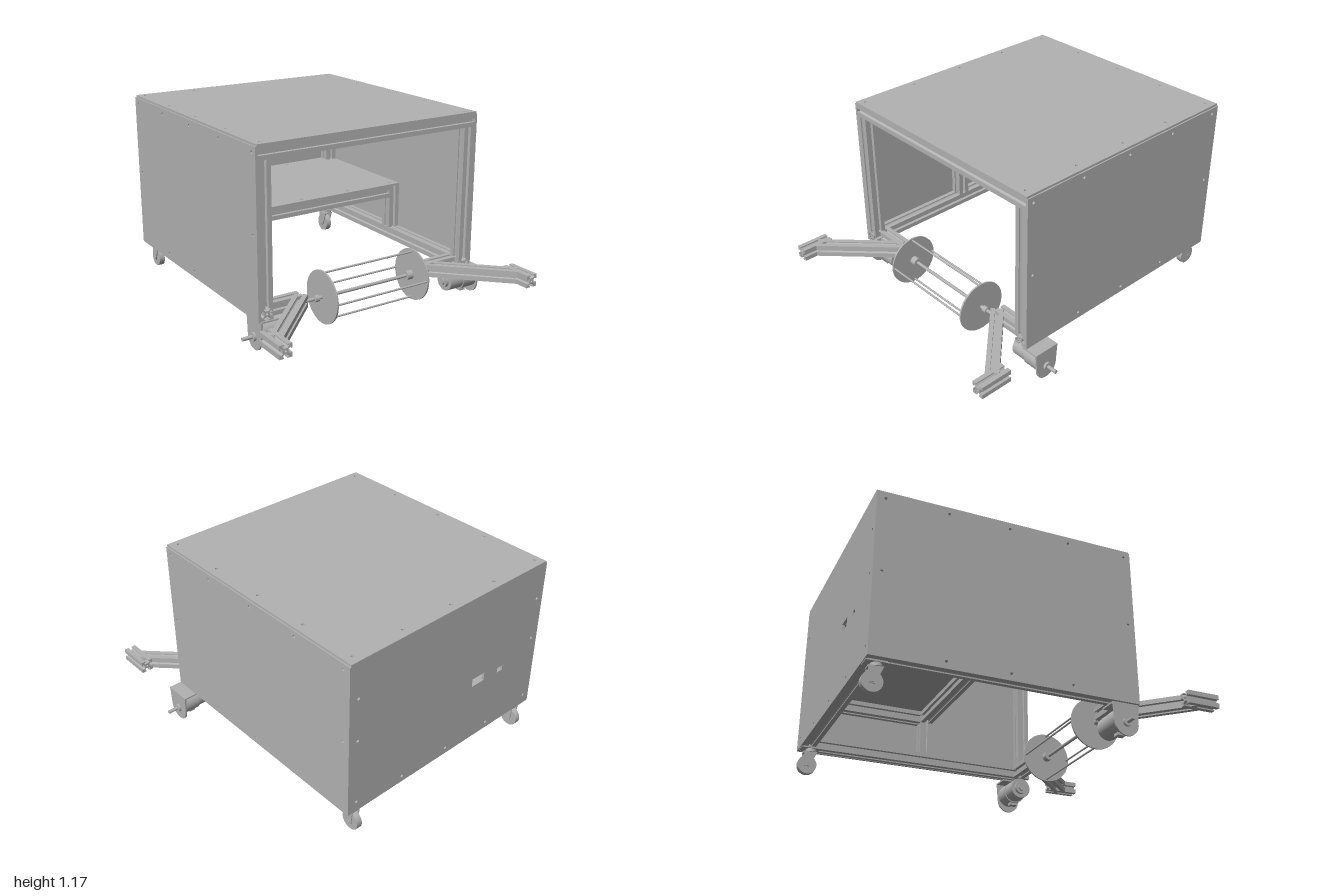
import * as THREE from 'three';

const grey = new THREE.MeshStandardMaterial({ color: 0xb2b2b2 });
grey.name = 'plain grey';

const H = 0.038; // half width of a slotted beam
const X0 = -0.745, X1 = 0.715, Z0 = -0.975, Z1 = 0.565, Y0 = 0.198, Y1 = 1.165;

function add(parent, name, geometry, x = 0, y = 0, z = 0) {
  const mesh = new THREE.Mesh(geometry, grey);
  mesh.name = name;
  mesh.position.set(x, y, z);
  parent.add(mesh);
  return mesh;
}

// Square beam profile with a T-slot in each side and a centre bore
function beamProfile() {
  const side = [[H, H], [0.011, H], [0.011, 0.031], [0.021, 0.031], [0.011, 0.016],
    [-0.011, 0.016], [-0.021, 0.031], [-0.011, 0.031], [-0.011, H]];
  const points = [];
  for (let i = 0; i < 4; i++) {
    for (const [x, y] of side) {
      points.push(new THREE.Vector2(x, y).rotateAround(new THREE.Vector2(), i * Math.PI / 2));
    }
  }
  const shape = new THREE.Shape(points);
  shape.holes.push(new THREE.Path().absarc(0, 0, 0.007, 0, Math.PI * 2, true));
  return shape;
}
const profile = beamProfile();

function beam(parent, name, from, to) {
  const a = new THREE.Vector3(...from), b = new THREE.Vector3(...to);
  const geometry = new THREE.ExtrudeGeometry(profile,
    { depth: a.distanceTo(b), bevelEnabled: false, curveSegments: 5 });
  const mesh = add(parent, name, geometry, ...from);
  const dir = b.sub(a).normalize();
  mesh.quaternion.setFromUnitVectors(new THREE.Vector3(0, 0, 1), dir);
  return mesh;
}

// Flat sheet with round screw holes and rectangular cut-outs
function sheet([u0, v0, u1, v1], depth, holes, cutouts = []) {
  const rect = (T, a, b, c, d) => new T([[a, b], [c, b], [c, d], [a, d]].map(p => new THREE.Vector2(...p)));
  const shape = rect(THREE.Shape, u0, v0, u1, v1);
  for (const [u, v] of holes) {
    const p = new THREE.Path();
    p.absarc(u, v, 0.009, 0, Math.PI * 2, true);
    shape.holes.push(p);
  }
  for (const c of cutouts) shape.holes.push(rect(THREE.Path, ...c));
  return new THREE.ExtrudeGeometry(shape, { depth, bevelEnabled: false, curveSegments: 6 });
}

const rodX = (r, length, sides = 24) => new THREE.CylinderGeometry(r, r, length, sides).rotateZ(Math.PI / 2);

function buildPanels(parent) {
  const xs = [-0.71, -0.365, -0.02, 0.33, 0.67];
  const zs = [-0.94, -0.575, -0.21, 0.155, 0.525];
  // Top
  const topHoles = xs.map(x => [x, zs[0]]);
  for (const z of zs.slice(1)) topHoles.push([xs[0], z], [xs[4], z]);
  add(parent, 'topPanel', sheet([X0 - 0.007, -0.99, X1 + 0.007, Z1], 0.013, topHoles).rotateX(Math.PI / 2), 0, Y1 + 0.013, 0);
  // Sides
  const sideHoles = zs.map(z => [z, 1.13]);
  sideHoles.push([zs[0], 0.68], [zs[4], 0.68]);
  for (const z of zs.slice(1, 4)) sideHoles.push([z, 0.235]);
  for (const [name, x] of [['leftPanel', X1 + 0.015], ['rightPanel', X0]]) {
    add(parent, name, sheet([-0.99, 0.195, Z1, Y1], 0.015, sideHoles).rotateY(-Math.PI / 2), x, 0, 0);
  }
  // Back, with two openings
  const backHoles = xs.slice(1, 4).map(x => [x, 0.235]);
  for (const y of [0.26, 0.68, 0.95]) backHoles.push([xs[0], y], [xs[4], y]);
  add(parent, 'backPanel', sheet([X0, 0.195, X1, Y1], 0.015, backHoles,
    [[-0.305, 0.575, -0.205, 0.627], [-0.465, 0.57, -0.42, 0.6]]), 0, 0, -0.99);
  // Shelf board
  const shelfHoles = xs.flatMap(x => [[x, -0.18], [x, -0.93]]);
  add(parent, 'shelfBoard', sheet([X0, Z0, X1, -0.14], 0.012, shelfHoles).rotateX(Math.PI / 2), 0, 0.572, 0);
}

function buildFrame(parent) {
  const low = Y0 + H, high = Y1 - H, shelf = 0.56 - H;
  const left = X1 - H, right = X0 + H, back = Z0 + H, front = Z1 - H, shelfFront = -0.14 - H;
  for (const x of [left, right]) {
    beam(parent, 'bottomSideRail', [x, low, Z0], [x, low, Z1]);
    beam(parent, 'topSideRail', [x, high, Z0], [x, high, front - H]);
    beam(parent, 'frontPost', [x, low + H, front], [x, high - H, front]);
    beam(parent, 'backPost', [x, low + H, back], [x, high - H, back]);
    beam(parent, 'shelfPost', [x, low + H, shelfFront], [x, 0.56, shelfFront]);
    beam(parent, 'shelfSideRail', [x, shelf, back + H], [x, shelf, shelfFront - H]);
  }
  beam(parent, 'topFrontRail', [X0, high, front], [X1, high, front]);
  for (const [name, y, z] of [['topBackRail', high, back], ['bottomBackRail', low, back],
    ['shelfFrontRail', shelf, shelfFront], ['shelfBackRail', shelf, back]]) {
    beam(parent, name, [right + H, y, z], [left - H, y, z]);
  }
  // Splayed front arms
  for (const s of [-1, 1]) {
    const px = d => -0.015 + s * d;
    beam(parent, 'armMount', [px(0.655), low, 0.49], [px(0.44), low, 0.49]);
    beam(parent, 'armDiagonal', [px(0.44), low, 0.505], [px(0.825), low, 0.89]);
    beam(parent, 'armTip', [px(0.837), low, 0.8], [px(0.837), low, 1]);
  }
}

// Two discs joined by rods on an axle
function buildSpool(parent) {
  const spool = new THREE.Group();
  spool.name = 'spool';
  spool.position.set(-0.01, 0.234, 0.527);
  parent.add(spool);
  for (const s of [-1, 1]) {
    add(spool, 'spoolDisc', rodX(0.157, 0.01, 48), s * 0.318);
    add(spool, 'spoolHub', rodX(0.028, 0.04), s * 0.29);
    add(spool, 'axleCollar', rodX(0.02, 0.03), s * 0.36);
  }
  add(spool, 'axle', rodX(0.01, 0.88, 16));
  for (let i = 0; i < 4; i++) {
    const a = i * Math.PI / 2;
    add(spool, 'spoolRod', rodX(0.006, 0.645, 10), 0, 0.144 * Math.cos(a), 0.144 * Math.sin(a));
  }
}

// Drive motor on its bracket; the shaft points to local +x
function buildMotor(parent, x, turn) {
  const motor = new THREE.Group();
  motor.name = 'driveMotor';
  motor.position.set(x, 0, 0.484);
  motor.rotation.y = turn;
  parent.add(motor);
  const plate = new THREE.Shape();
  plate.moveTo(-0.082, 0.195);
  plate.lineTo(-0.072, 0.07);
  plate.absarc(0, 0.077, 0.073, Math.PI, Math.PI * 2, false);
  plate.lineTo(0.082, 0.195);
  add(motor, 'bracketPlate', new THREE.ExtrudeGeometry(plate, { depth: 0.01, bevelEnabled: false }).rotateY(-Math.PI / 2));
  add(motor, 'bracketFlange', new THREE.BoxGeometry(0.11, 0.01, 0.164), -0.055, 0.19, 0);
  add(motor, 'gearbox', rodX(0.071, 0.1, 32), -0.06, 0.112, 0);
  add(motor, 'gearboxFoot', new THREE.BoxGeometry(0.04, 0.02, 0.05), -0.08, 0.038, 0);
  add(motor, 'motorBody', rodX(0.066, 0.1, 32), -0.158, 0.114, 0);
  add(motor, 'motorCap', rodX(0.042, 0.02), -0.217, 0.114, 0);
  add(motor, 'motorTerminal', rodX(0.025, 0.012), -0.231, 0.114, 0);
  add(motor, 'shaftCollar', rodX(0.026, 0.014), 0.007, 0.083, 0);
  add(motor, 'shaft', rodX(0.011, 0.075, 16), 0.0375, 0.083, 0);
}

// Rear swivel wheel
function buildCaster(parent, x) {
  const caster = new THREE.Group();
  caster.name = 'caster';
  caster.position.set(x, 0, -0.94);
  parent.add(caster);
  add(caster, 'casterPlate', new THREE.BoxGeometry(0.075, 0.01, 0.115), 0, 0.193, 0.012);
  add(caster, 'swivel', new THREE.CylinderGeometry(0.032, 0.036, 0.02, 24), 0, 0.178, 0.02);
  add(caster, 'forkTop', new THREE.BoxGeometry(0.056, 0.008, 0.08), 0, 0.165, 0.012);
  const cheek = new THREE.Shape([[-0.028, 0.169], [-0.018, 0.075], [0.014, 0.068], [0.055, 0.169]]
    .map(p => new THREE.Vector2(...p)));
  for (const s of [-1, 1]) {
    add(caster, 'forkCheek', new THREE.ExtrudeGeometry(cheek, { depth: 0.005, bevelEnabled: false })
      .rotateY(-Math.PI / 2), s * 0.0255 + 0.0025, 0, 0);
  }
  add(caster, 'casterWheel', rodX(0.058, 0.036, 32), 0, 0.086, 0);
  add(caster, 'casterAxle', rodX(0.01, 0.064, 12), 0, 0.086, 0);
}

export function createModel() {
  const model = new THREE.Group();
  model.name = 'wheeledCart';
  buildPanels(model);
  buildFrame(model);
  buildSpool(model);
  buildMotor(model, 0.81, 0);
  buildMotor(model, -0.745, Math.PI);
  buildCaster(model, 0.65);
  buildCaster(model, -0.68);
  return model;
}
